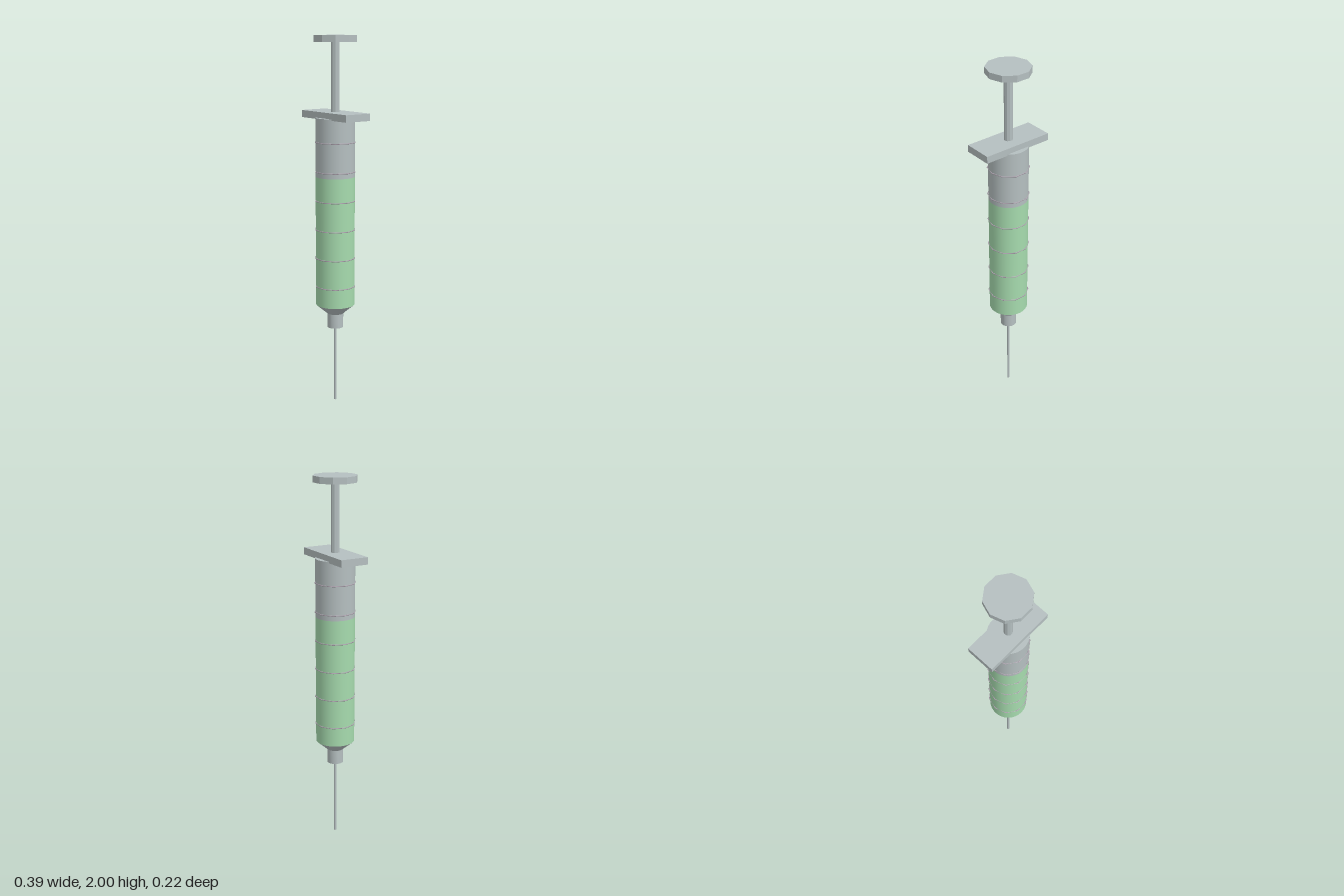
import * as THREE from 'three';
import { toCreasedNormals } from 'three/addons/utils/BufferGeometryUtils.js';

export function createModel() {
  const group = new THREE.Group();
  const material = (name, color) => {
    const m = new THREE.MeshStandardMaterial({ color });
    m.name = name;
    return m;
  };
  const grey = material('pale grey', 0xb5bfc0);
  const green = material('liquid green', 0xa6dbae);
  const mauve = material('mark mauve', 0xb0a6b2);

  const add = (name, geometry, mat, y = 0) => {
    const mesh = new THREE.Mesh(geometry, mat);
    mesh.name = name;
    mesh.position.y = y;
    group.add(mesh);
    return mesh;
  };
  // Upright cylinder between two heights
  const column = (name, rTop, rBottom, y0, y1, sides, mat, open = false) =>
    add(name, new THREE.CylinderGeometry(rTop, rBottom, y1 - y0, sides, 1, open), mat, (y0 + y1) / 2);

  // Corner of a polygonal part lies on the x axis
  const faceted = (name, r, y0, y1, sides) => {
    const mesh = column(name, r, r, y0, y1, sides, grey);
    mesh.geometry = toCreasedNormals(mesh.geometry, 0.3);
    mesh.rotation.y = Math.PI / 2;
  };

  // Barrel: liquid below, empty part above
  const R = 0.105;
  column('liquid', R, R, 0.555, 1.26, 32, green, true);
  column('emptyBarrel', R, R, 1.26, 1.573, 32, grey);

  // Shoulder, and needle hub with a recess underneath
  const profile = [
    [0.018, 0.45], [0.024, 0.45], [0.024, 0.425], [0.044, 0.425],
    [0.044, 0.503], [R, 0.555],
  ].map(([x, y]) => new THREE.Vector2(x, y));
  profile[0].x = 0;
  add('shoulderAndHub', toCreasedNormals(new THREE.LatheGeometry(profile, 32), 0.5), grey);
  column('needle', 0.007, 0.007, 0, 0.46, 12, grey);

  // Graduation rings, whose corners stand just proud of the barrel
  for (let i = 0; i < 6; i++) {
    const ring = new THREE.TorusGeometry(0.1085, 0.003, 6, 10);
    ring.rotateX(Math.PI / 2);
    add('graduationRing', ring, mauve, 0.66 + i * 0.157);
  }

  // Finger flange, plunger rod and thumb rest
  add('fingerFlange', new THREE.BoxGeometry(0.391, 0.038, 0.156), grey, 1.585);
  faceted('plungerRod', 0.023, 1.59, 1.97, 10);
  faceted('thumbRest', 0.117, 1.966, 2, 10);

  return group;
}
